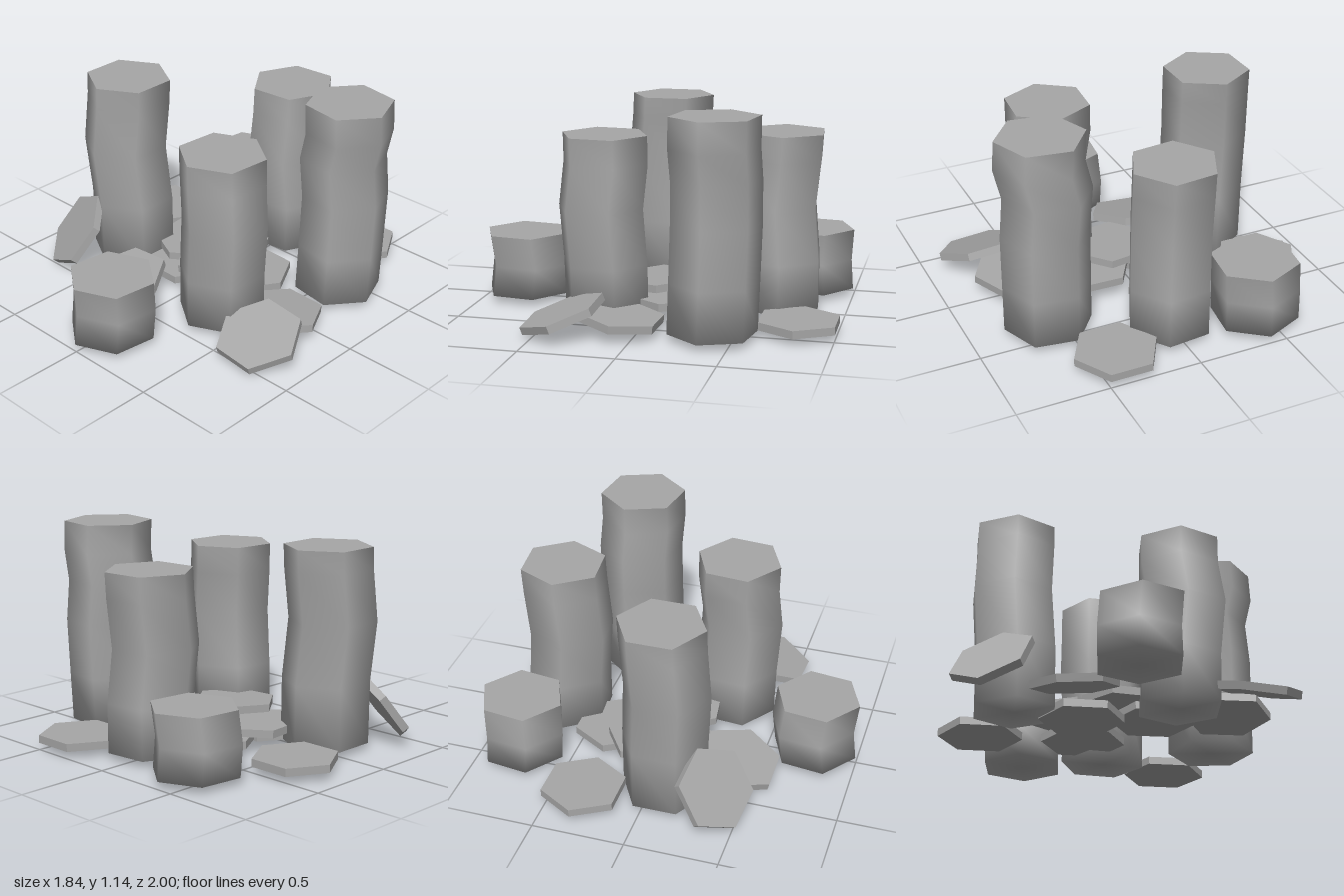
import * as THREE from 'three';

const BASE = 0.035;
const SIDES = 6;
const stone = new THREE.MeshStandardMaterial({ color: 0xa6a6a6 });
stone.name = 'grey stone';

// Standing hexagonal column: rings are [height, x drift, z drift] from bottom to top.
// Smooth sides and base, crisp flat top.
function column(name, x, z, angle, rings, radius = 0.234) {
  const pos = [], index = [];
  const addRing = ([y, dx, dz]) => {
    for (let i = 0; i < SIDES; i++) {
      const a = angle + (i * Math.PI * 2) / SIDES;
      pos.push(x + dx + Math.cos(a) * radius, y, z + dz + Math.sin(a) * radius);
    }
  };
  rings.forEach(addRing);
  for (let r = 0; r < rings.length - 1; r++) {
    for (let i = 0; i < SIDES; i++) {
      const p = r * SIDES + i, q = r * SIDES + ((i + 1) % SIDES);
      index.push(p, p + SIDES, q + SIDES, p, q + SIDES, q);
    }
  }
  // base fan shares the lowest ring, top fan has its own ring
  const top = rings[rings.length - 1];
  const topStart = pos.length / 3;
  addRing(top);
  const baseCentre = pos.length / 3;
  pos.push(x + rings[0][1], rings[0][0], z + rings[0][2]);
  pos.push(x + top[1], top[0], z + top[2]);
  for (let i = 0; i < SIDES; i++) {
    const j = (i + 1) % SIDES;
    index.push(baseCentre, i, j);
    index.push(baseCentre + 1, topStart + j, topStart + i);
  }
  const geo = new THREE.BufferGeometry();
  geo.setAttribute('position', new THREE.Float32BufferAttribute(pos, 3));
  geo.setIndex(index);
  geo.computeVertexNormals();
  const mesh = new THREE.Mesh(geo, stone);
  mesh.name = name;
  return mesh;
}

// Thin hexagonal slab facing along a normal; angle is the plan direction of one corner.
function slab(name, x, y, z, angle, normal = [0, 1, 0], radius = 0.228) {
  const geo = new THREE.CylinderGeometry(radius, radius, 0.042, SIDES).rotateY(Math.PI / 2).toNonIndexed();
  geo.computeVertexNormals();
  const n = new THREE.Vector3(...normal).normalize();
  const c = Math.cos(angle), s = Math.sin(angle);
  const u = new THREE.Vector3(c, -(n.x * c + n.z * s) / n.y, s).normalize();
  const w = new THREE.Vector3().crossVectors(u, n);
  const mesh = new THREE.Mesh(geo, stone);
  mesh.quaternion.setFromRotationMatrix(new THREE.Matrix4().makeBasis(u, n, w));
  mesh.position.set(x, y, z);
  mesh.name = name;
  return mesh;
}

export function createModel() {
  const group = new THREE.Group();
  group.name = 'hexagonalStones';

  // Tall columns
  group.add(
    column('rightColumn', -0.557, 0.07, 0.52, [
      [BASE, 0.02, 0.01], [0.37, 0.015, 0.01], [0.69, -0.01, 0.03], [0.96, 0, 0.005], [1.08, 0, 0],
    ]),
    column('backColumn', 0, -0.66, -0.1, [
      [BASE, 0.01, 0.01], [0.3, 0.01, 0.01], [0.58, -0.005, 0.035], [0.84, 0, 0.008], [0.98, 0, 0],
    ]),
    column('leftColumn', 0.605, -0.405, 0.15, [
      [BASE, -0.02, 0.01], [0.3, -0.015, 0], [0.6, -0.01, -0.01], [0.82, -0.03, -0.005],
      [0.98, 0.008, 0], [1.14, 0, 0],
    ]),
    column('frontColumn', 0.31, 0.238, 0.61, [
      [BASE, -0.005, -0.005], [0.3, 0, 0], [0.6, 0.03, 0.015], [0.83, 0, -0.003], [0.98, 0, 0],
    ]),
  );

  // Short stumps
  group.add(
    column('frontStump', 0.033, 0.765, 0.65, [[BASE, -0.012, 0], [0.2, -0.012, -0.02], [0.375, 0, 0]]),
    column('backStump', -0.425, -0.765, 0.65, [[BASE, -0.012, 0], [0.2, -0.018, 0.012], [0.375, 0, 0]]),
  );

  // Flat paving slabs: name, x, y, z, corner angle, facing
  const slabs = [
    ['backLeftSlab', 0.385, 0.057, -0.805, 0],
    ['backRightSlab', -0.695, 0.06, -0.325, 0],
    ['middleBackSlab', -0.135, 0.06, -0.335, 0],
    ['middleLowSlab', -0.18, 0.05, 0.02, 0],
    ['middleRightSlab', -0.23, 0.105, -0.11, 0.44],
    ['middleLeftSlab', 0.215, 0.1, -0.09, 0.03],
    ['middleTopSlab', 0.045, 0.148, 0.005, -0.14, [0, 1, 0.05]],
    ['leftSlab', 0.588, 0.08, 0.08, 0.03, [0, 1, -0.1]],
    ['frontLeftSlab', 0.69, 0.11, 0.36, 0.03, [0.08, 1, 0.36]],
    ['frontSlab', -0.255, 0.075, 0.408, 0, [-0.08, 1, 0.25]],
    ['leaningSlab', -0.67, 0.2, 0.385, 3.33, [-0.42, 0.6, 0.68]],
  ];
  for (const s of slabs) group.add(slab(...s));

  return group;
}
